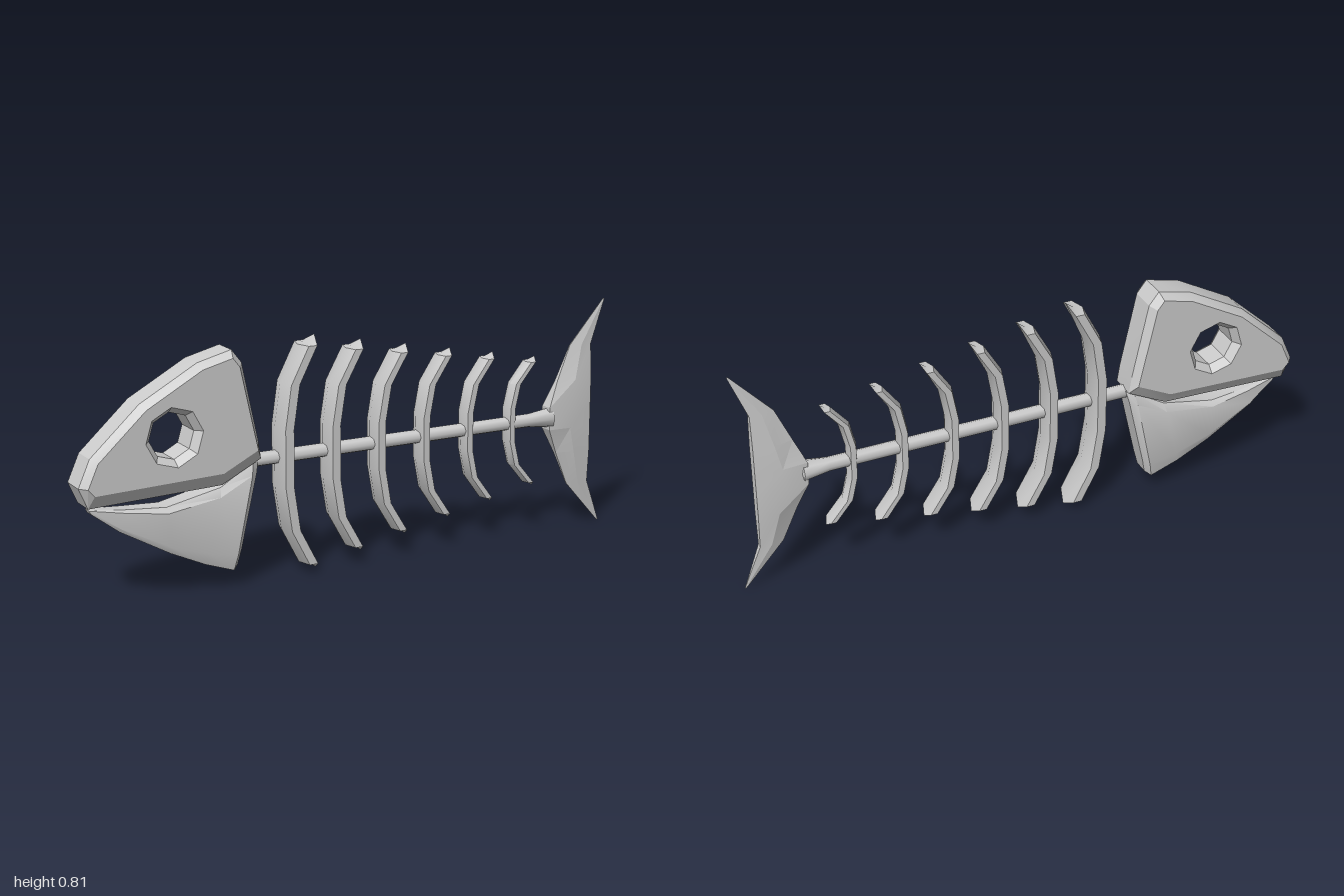
import * as THREE from 'three';
import { toCreasedNormals } from 'three/addons/utils/BufferGeometryUtils.js';

const material = new THREE.MeshStandardMaterial({ color: 0xcccccc });
const MID_Y = 0.42;

function addMesh(parent, name, geometry) {
  const mesh = new THREE.Mesh(geometry, material);
  mesh.name = name;
  parent.add(mesh);
  return mesh;
}

// Skin closed rings of [x, y, z] points, with a fan cap on each end
function loft(rings, crease) {
  const n = rings[0].length, out = [];
  for (let i = 0; i < rings.length - 1; i++) {
    for (let j = 0; j < n; j++) {
      const k = (j + 1) % n;
      const a = rings[i][j], b = rings[i][k], c = rings[i + 1][k], d = rings[i + 1][j];
      out.push(...a, ...b, ...c, ...a, ...c, ...d);
    }
  }
  for (const [ring, flip] of [[rings[0], true], [rings[rings.length - 1], false]]) {
    const mid = [0, 1, 2].map((k) => ring.reduce((s, p) => s + p[k], 0) / n);
    for (let j = 0; j < n; j++) {
      const a = ring[j], b = ring[(j + 1) % n];
      out.push(...mid, ...(flip ? b : a), ...(flip ? a : b));
    }
  }
  const geometry = new THREE.BufferGeometry();
  geometry.setAttribute('position', new THREE.Float32BufferAttribute(out, 3));
  geometry.computeVertexNormals();
  return toCreasedNormals(geometry, crease);
}

// Bevelled skull plate with an octagonal eye socket
function skullGeometry() {
  const outline = [
    [-0.97, 0.35], [-0.51, 0.365], [-0.37, 0.435], [-0.38, 0.5], [-0.435, 0.76], [-0.47, 0.805],
    [-0.59, 0.775], [-0.79, 0.665], [-0.96, 0.51], [-1, 0.42],
  ].map(([x, y]) => new THREE.Vector2(x, y));
  const shape = new THREE.Shape(outline);
  const eye = [];
  for (let i = 0; i < 8; i++) {
    const a = -(i / 8) * Math.PI * 2 + 0.1;
    eye.push(new THREE.Vector2(-0.683 + 0.078 * Math.cos(a), 0.55 + 0.078 * Math.sin(a)));
  }
  shape.holes.push(new THREE.Path(eye));
  const geometry = new THREE.ExtrudeGeometry(shape, {
    depth: 0.09, bevelThickness: 0.028, bevelSize: 0.02, bevelOffset: -0.02, bevelSegments: 1,
  });
  geometry.translate(0, 0, -0.045);
  // Widen the bevel along the upper lip
  const p = geometry.attributes.position;
  for (let i = 0; i < p.count; i++) {
    if (Math.abs(p.getZ(i)) > 0.06 && p.getY(i) < 0.45 && p.getX(i) > -0.96) {
      p.setY(i, p.getY(i) + 0.025);
    }
  }
  return toCreasedNormals(geometry, 0.35);
}

// Lower jaw: slanted sections from the chin tip to the hinge
function jawGeometry() {
  const stations = [ // top x, top y, bottom x, bottom y, half width
    [-0.957, 0.337, -0.95, 0.322, 0.018],
    [-0.84, 0.325, -0.86, 0.255, 0.036],
    [-0.7, 0.315, -0.69, 0.16, 0.048],
    [-0.51, 0.355, -0.57, 0.105, 0.052],
    [-0.395, 0.425, -0.47, 0.07, 0.052],
    [-0.37, 0.43, -0.45, 0.085, 0.034],
  ];
  const half = [[0, 0.7], [0.12, 1], [0.85, 1], [1, 0.8]];
  const section = [...half, ...half.slice().reverse().map(([t, w]) => [t, -w])];
  return loft(stations.map(([tx, ty, bx, by, hw]) =>
    section.map(([t, w]) => [tx + (bx - tx) * t, ty + (by - ty) * t, w * hw])), 0.55);
}

// Swept-back rib: hexagonal section along a bowed line, cut to a point at each end
function ribGeometry(left, depth, height, halfX, halfZ) {
  const rows = [[-1, 1], [-0.62, 0.27], [-0.25, 0.02], [0.25, 0.02], [0.62, 0.27], [1, 1]];
  return loft(rows.map(([t, bow]) => {
    const ring = [];
    for (let k = 0; k < 6; k++) {
      const a = (k / 6) * Math.PI * 2 + Math.PI / 6;
      const cut = Math.abs(t) === 1 && k !== 1 ? 0.93 : 1;
      ring.push([
        left + halfX + bow * (depth - 2 * halfX) + halfX * Math.sin(a),
        MID_Y - 0.003 + t * cut * height,
        halfZ * Math.cos(a) / 0.866,
      ]);
    }
    return ring;
  }), 0.75);
}

// Tail fin: sections stacked upward, thick in the middle and sharp at both tips
function tailGeometry() {
  const half = [ // height from middle, front x, ridge x, back x, front, ridge and back thickness
    [0.04, 0.765, 0.85, 0.94, 0.024, 0.029, 0.018],
    [0.13, 0.805, 0.87, 0.94, 0.008, 0.024, 0.018],
    [0.25, 0.857, 0.9, 0.94, 0.002, 0.012, 0.01],
    [0.405, 0.994, 0.997, 1, 0.0005, 0.001, 0.0005],
  ];
  const ring = ([h, xf, xm, xb, a, b, c], s) => [
    [xm, b], [xb, c], [xb, -c], [xm, -b], [xf, -a], [xf, a],
  ].map(([x, z]) => [x, MID_Y + s * h, z]);
  return loft([
    ...half.slice().reverse().map((r) => ring(r, -1)),
    ...half.map((r) => ring(r, 1)),
  ], 0.2);
}

export function createModel() {
  const model = new THREE.Group();
  model.name = 'fishSkeleton';

  const head = new THREE.Group();
  head.name = 'head';
  model.add(head);
  addMesh(head, 'skull', skullGeometry());
  addMesh(head, 'lowerJaw', jawGeometry());

  // Spine, flaring where it meets the tail
  const profile = [[0, -0.42], [0.024, -0.42], [0.024, 0.69], [0.036, 0.78], [0, 0.8]];
  const spine = new THREE.LatheGeometry(profile.map(([r, y]) => new THREE.Vector2(r, y)), 8);
  spine.rotateZ(-Math.PI / 2);
  addMesh(model, 'spine', toCreasedNormals(spine, 0.9)).position.y = MID_Y;

  // Ribs shrinking toward the tail
  const ribs = new THREE.Group();
  ribs.name = 'ribs';
  model.add(ribs);
  for (let i = 0; i < 6; i++) {
    const f = i / 5;
    addMesh(ribs, 'rib' + (i + 1), ribGeometry(
      -0.3 + 0.178 * i, 0.15 - 0.03 * f, 0.398 - 0.166 * f, 0.031 - 0.012 * f, 0.051 - 0.025 * f));
  }

  addMesh(model, 'tailFin', tailGeometry());
  return model;
}
